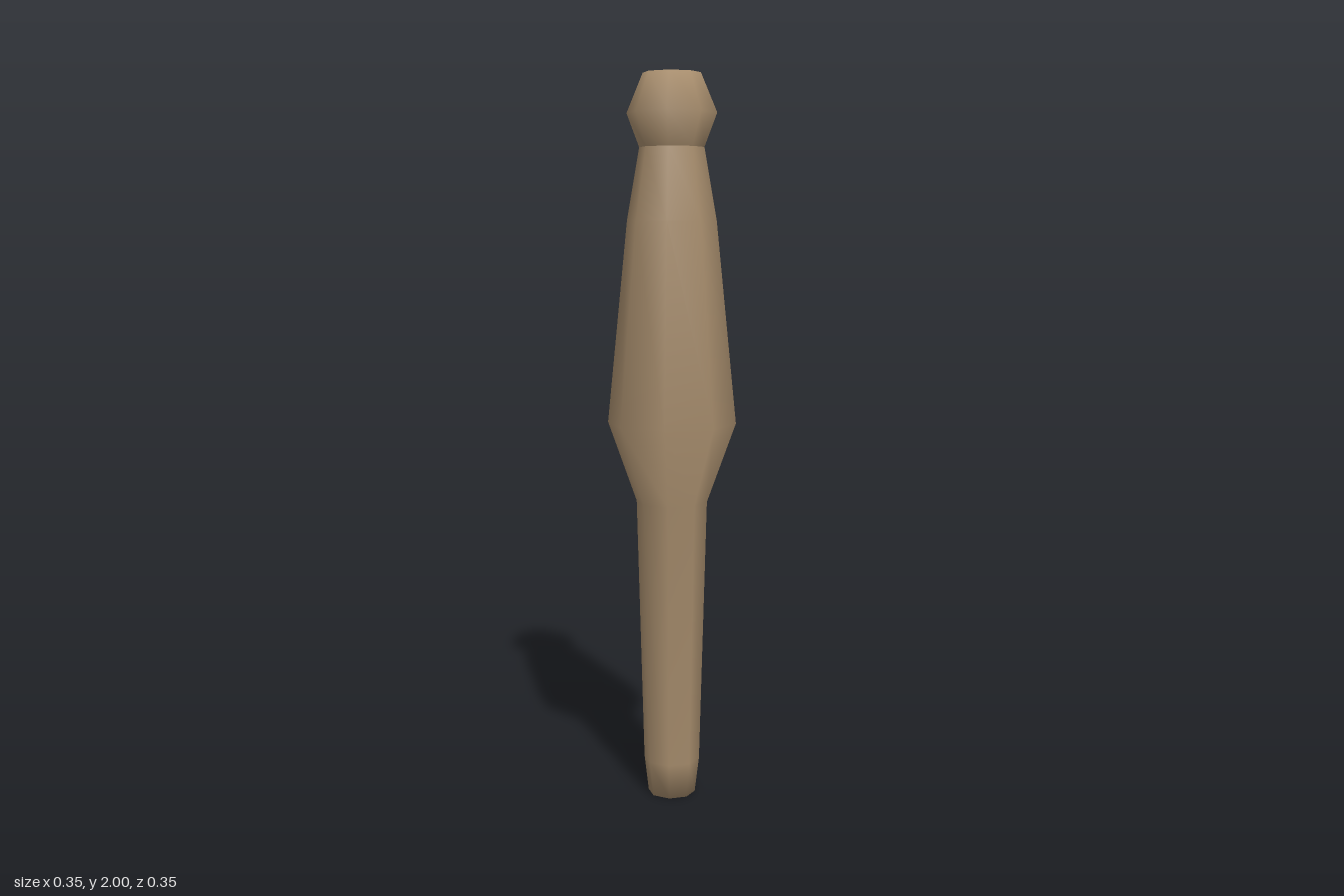
import * as THREE from 'three';

const SIDES = 8;

// Smooth eight-sided turned part from [radius, height] pairs, bottom to top
function turned(name, profile, material) {
  const points = profile.map(([r, y]) => new THREE.Vector2(r, y));
  const mesh = new THREE.Mesh(new THREE.LatheGeometry(points, SIDES), material);
  mesh.name = name;
  return mesh;
}

export function createModel() {
  const wood = new THREE.MeshStandardMaterial({ color: 0xa68c6c });
  wood.name = 'wood';

  const model = new THREE.Group();
  model.name = 'turnedPin';

  // Handle, swelling and tapered neck, closed at the foot
  model.add(turned('body', [
    [0, 0], [0.066, 0], [0.078, 0.1], [0.098, 0.84],
    [0.177, 1.06], [0.122, 1.61], [0.088, 1.805],
  ], wood));

  // Knob, closed at the top
  model.add(turned('knob', [
    [0.088, 1.805], [0.122, 1.895], [0.078, 2], [0, 2],
  ], wood));

  return model;
}
